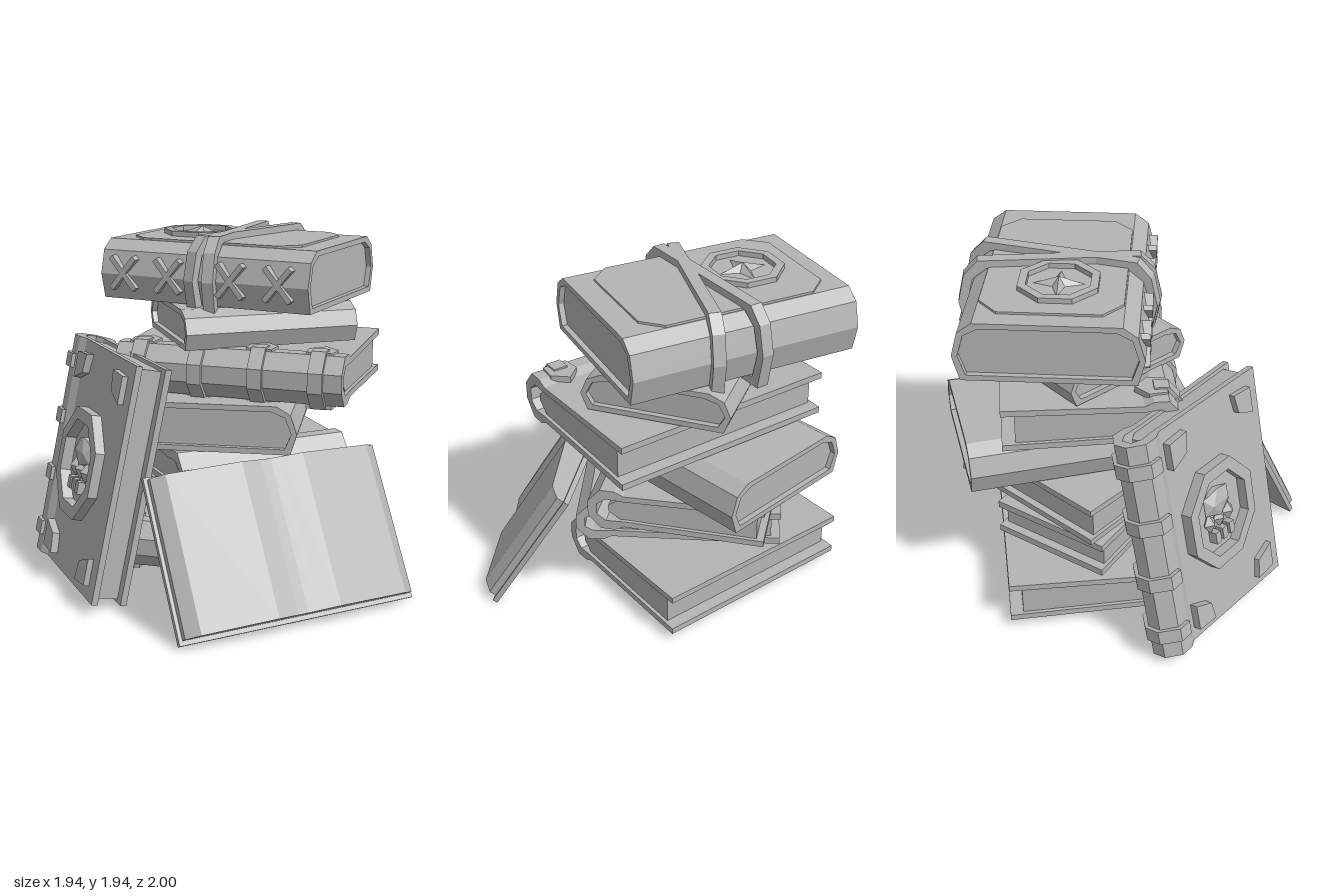
import * as THREE from 'three';

const grey = new THREE.MeshStandardMaterial({ color: 0xb4b4b4 });
grey.name = 'grey';

function add(parent, name, geometry, x = 0, y = 0, z = 0, rx = 0, ry = 0, rz = 0) {
  const flat = geometry.index ? geometry.toNonIndexed() : geometry;
  flat.computeVertexNormals();
  const mesh = new THREE.Mesh(flat, grey);
  mesh.name = name;
  mesh.position.set(x, y, z);
  mesh.rotation.set(rx, ry, rz);
  parent.add(mesh);
  return mesh;
}

const toPoints = (list) => list.map(([x, y]) => new THREE.Vector2(x, y));

// Cross-section extruded along z, centred on z = 0
function slab(points, depth, hole) {
  const shape = new THREE.Shape(toPoints(points));
  if (hole) shape.holes.push(new THREE.Path(toPoints(hole)));
  return new THREE.ExtrudeGeometry(shape, { depth, bevelEnabled: false }).translate(0, 0, -depth / 2);
}

const octagon = (r) => Array.from({ length: 8 }, (_, i) => {
  const a = (i + 0.5) * Math.PI / 4;
  return [Math.cos(a) * r, Math.sin(a) * r];
});

// Spine with folded edges and two boards, open at the fore-edge
function shellOutline(W, H, t) {
  const w = W / 2, s = -w;
  return [
    [w, H - 0.01], [s + 0.2, H - 0.025], [s + 0.15, H], [s + 0.07, H], [s, H * 0.68],
    [s, H * 0.32], [s + 0.07, 0], [s + 0.15, 0], [s + 0.2, 0.025], [w, 0.01],
    [w, 0.01 + t], [s + 0.2, 0.025 + t], [s + 0.1, t + 0.02], [s + 0.05, H * 0.37],
    [s + 0.05, H * 0.63], [s + 0.1, H - t - 0.02], [s + 0.2, H - 0.025 - t], [w, H - 0.01 - t],
  ];
}

// Book lying flat: spine at -x, fore-edge at +x, length along z
function makeBook(name, { W, H, L, t = 0.035, over = 0.07, bands = [], tabs = false }) {
  const book = new THREE.Group();
  book.name = name;
  const s = -W / 2;
  add(book, 'cover', slab(shellOutline(W, H, t), L));
  add(book, 'pages', slab([
    [W / 2 - over, 0.02], [W / 2 - over, H - 0.02], [s + 0.2, H - 0.04],
    [s + 0.11, H * 0.58], [s + 0.11, H * 0.42], [s + 0.2, 0.04],
  ], L - 0.04));
  // Raised bands around the spine
  const o = 0.022;
  for (const z of bands) {
    add(book, 'spineBand', slab([
      [s + 0.14, H + o], [s + 0.06, H + o], [s - o, H * 0.7], [s - o, H * 0.3],
      [s + 0.06, -o], [s + 0.14, -o], [s + 0.14, 0.01], [s + 0.08, 0.01],
      [s + 0.01, H * 0.33], [s + 0.01, H * 0.67], [s + 0.08, H - 0.01], [s + 0.14, H - 0.01],
    ], 0.08), 0, 0, z);
    if (!tabs) continue;
    const tab = [[0, -0.07], [0.1, -0.08], [0.17, 0], [0.1, 0.08], [0, 0.07]];
    for (const y of [-0.005, H - 0.005]) {
      add(book, 'bandTab', slab(tab, 0.035), s + 0.07, y, z, Math.PI / 2);
    }
  }
  return book;
}

// Wrapped cover outline, bulging at spine and fore-edge, grown by o
function wrapOutline(W, H, o) {
  const w = W / 2 + o;
  return [
    [-w + 0.035, -o], [w - 0.035, -o], [w, H * 0.43], [w - 0.035, H * 0.83 + o * 0.5],
    [w - 0.11, H + o], [-w + 0.11, H + o], [-w + 0.035, H * 0.83 + o * 0.5], [-w, H * 0.43],
  ];
}

// Book whose cover wraps all four long sides, with pages set in at the ends
function makeWrappedBook(name, { W, H, L }) {
  const book = new THREE.Group();
  book.name = name;
  add(book, 'cover', slab(wrapOutline(W, H, 0), L, wrapOutline(W, H, -0.03)));
  add(book, 'pages', slab(wrapOutline(W, H, -0.027), L - 0.06));
  return book;
}

// Place a book by its centre, base height and spine-to-fore-edge direction
function place(book, x, y, z, dx, dz) {
  book.position.set(x, y, z);
  book.rotation.y = Math.atan2(-dz, dx);
  return book;
}

function crossStitch(parent, x, y, z, size, alongX = true) {
  for (const a of [-0.7, 0.7]) {
    const g = alongX ? new THREE.BoxGeometry(0.05, size, 0.03) : new THREE.BoxGeometry(0.03, 0.03, size);
    add(parent, 'stitch', g, x, y, z, alongX ? a : 0, alongX ? 0 : a, 0);
  }
}

// Wrapped book with stitches, straps and a star medallion
function makeTopBook() {
  const W = 0.95, H = 0.325;
  const book = makeWrappedBook('strappedBook', { W, H, L: 1.26 });
  const panel = [
    [-0.36, -0.42], [-0.26, -0.53], [0.26, -0.53], [0.36, -0.42],
    [0.36, 0.4], [0.26, 0.5], [-0.26, 0.5], [-0.36, 0.4],
  ];
  add(book, 'coverPanel', slab(panel, 0.03), 0, 0.322, 0, Math.PI / 2);
  // Crossed straps
  for (const [angle, z] of [[0.13, 0], [-0.23, 0.07]]) {
    add(book, 'strap', slab(wrapOutline(W, H, 0.05), 0.065, wrapOutline(W, H, 0.005)), 0, 0, z, 0, angle)
      .scale.x = 1.02;
  }
  for (const z of [-0.48, -0.2, 0.18, 0.46]) crossStitch(book, -W / 2 + 0.005, 0.15, z, 0.23);
  // Medallion
  add(book, 'medallionRing', slab(octagon(0.22), 0.04, octagon(0.175)), -0.02, 0.345, -0.23, Math.PI / 2);
  const star = new THREE.ConeGeometry(0.14, 0.045, 8, 1);
  const p = star.attributes.position;
  for (let i = 0; i < p.count; i++) {
    const x = p.getX(i), z = p.getZ(i);
    if (Math.abs(x) > 0.03 && Math.abs(z) > 0.03) p.setXYZ(i, x * 0.35, p.getY(i), z * 0.35);
  }
  add(book, 'medallionStar', star, -0.02, 0.357, -0.23);
  return book;
}

// Upright book leaning on the pile, its decorated board facing -x
function makeLeaningBook() {
  const W = 0.99, H = 0.22, L = 1.29;
  const book = makeBook('leaningBookBody', { W, H, L, over: 0.05, bands: [-0.5, -0.17, 0.17, 0.5] });
  for (const [x, sx] of [[-0.21, -1], [0.34, 1]]) {
    for (const sz of [-1, 1]) {
      const plate = [[0.07, 0.07], [-0.07, 0.08], [-0.05, -0.03], [0.07, -0.08]];
      add(book, 'cornerPlate', slab(plate.map(([a, b]) => [a * sx, b * sz]), 0.05),
        x, 0.005, sz * 0.5, Math.PI / 2);
    }
  }
  // Medallion with a small carved face
  const m = new THREE.Group();
  m.name = 'medallion';
  m.position.set(0.03, 0, 0);
  m.scale.z = 1.12;
  book.add(m);
  add(m, 'medallionRing', slab(octagon(0.285), 0.08, octagon(0.22)), 0, 0, 0, Math.PI / 2);
  add(m, 'carvedBrow', new THREE.IcosahedronGeometry(0.12, 0), 0, 0.005, 0.06).scale.set(1, 0.35, 0.7);
  for (const x of [-0.08, 0, 0.08]) {
    add(m, 'carvedCheek', new THREE.OctahedronGeometry(0.055), x, 0.005, -0.03).scale.set(0.8, 0.7, 1);
    add(m, 'carvedTooth', new THREE.BoxGeometry(0.04, 0.06, 0.06), x * 0.75, 0, -0.11);
  }
  // Local x, y, z become world z, x, y
  book.position.set(-H / 2, 0, 0);
  book.setRotationFromMatrix(new THREE.Matrix4().makeBasis(
    new THREE.Vector3(0, 0, 1), new THREE.Vector3(1, 0, 0), new THREE.Vector3(0, 1, 0)));
  const lean = new THREE.Group();
  lean.name = 'leaningBook';
  lean.add(book);
  lean.position.set(-0.715, 0.685, -0.15);
  lean.rotation.z = -0.22;
  return lean;
}

// Open book propped against the front of the pile
function makeOpenBook() {
  const book = new THREE.Group();
  book.name = 'openBook';
  add(book, 'cover', slab([
    [-0.69, 0], [-0.08, 0], [0, -0.015], [0.08, 0], [0.69, 0], [0.69, 0.03], [-0.69, 0.03],
  ], 0.87), 0, 0, 0.435);
  add(book, 'pages', slab([
    [-0.67, 0.02], [0.67, 0.02], [0.67, 0.07], [0.6, 0.12], [0.18, 0.16], [0.06, 0.14],
    [0, 0.13], [-0.06, 0.135], [-0.18, 0.155], [-0.6, 0.12], [-0.67, 0.07],
  ], 0.83), 0, 0, 0.43);
  for (const z of [0.15, 0.7]) crossStitch(book, 0, -0.012, z, 0.14, false);
  book.position.set(0, 0.755, 0.42);
  book.rotation.x = 1.025;
  return book;
}

export function createModel() {
  const model = new THREE.Group();
  model.name = 'bookPile';
  model.add(
    place(makeBook('bottomBook', { W: 0.98, H: 0.27, L: 1.2, bands: [-0.42, 0, 0.42], tabs: true }),
      0.05, 0.05, -0.205, 0.67, -0.74),
    place(makeBook('secondBook', { W: 1.15, H: 0.23, L: 0.7, over: 0.05, t: 0.04 }), 0.005, 0.325, -0.07, -0.12, -0.99),
    place(makeBook('thirdBook', { W: 0.96, H: 0.25, L: 1.01, over: 0.04 }), 0.11, 0.56, -0.155, 0.03, -1),
    place(makeWrappedBook('fourthBook', { W: 0.85, H: 0.265, L: 1.27 }), 0.16, 0.81, -0.2, -0.82, -0.575),
    place(makeBook('bandedBook', { W: 0.94, H: 0.27, L: 1.28, bands: [-0.5, -0.17, 0.17, 0.5], tabs: true }),
      0.185, 1.08, -0.055, 0.7, -0.71),
    place(makeWrappedBook('sixthBook', { W: 0.79, H: 0.21, L: 0.98 }), 0.22, 1.345, -0.125, 0.15, -0.99),
    place(makeTopBook(), 0.195, 1.56, -0.22, 0.8, -0.6),
    makeLeaningBook(),
    makeOpenBook(),
  );
  return model;
}
